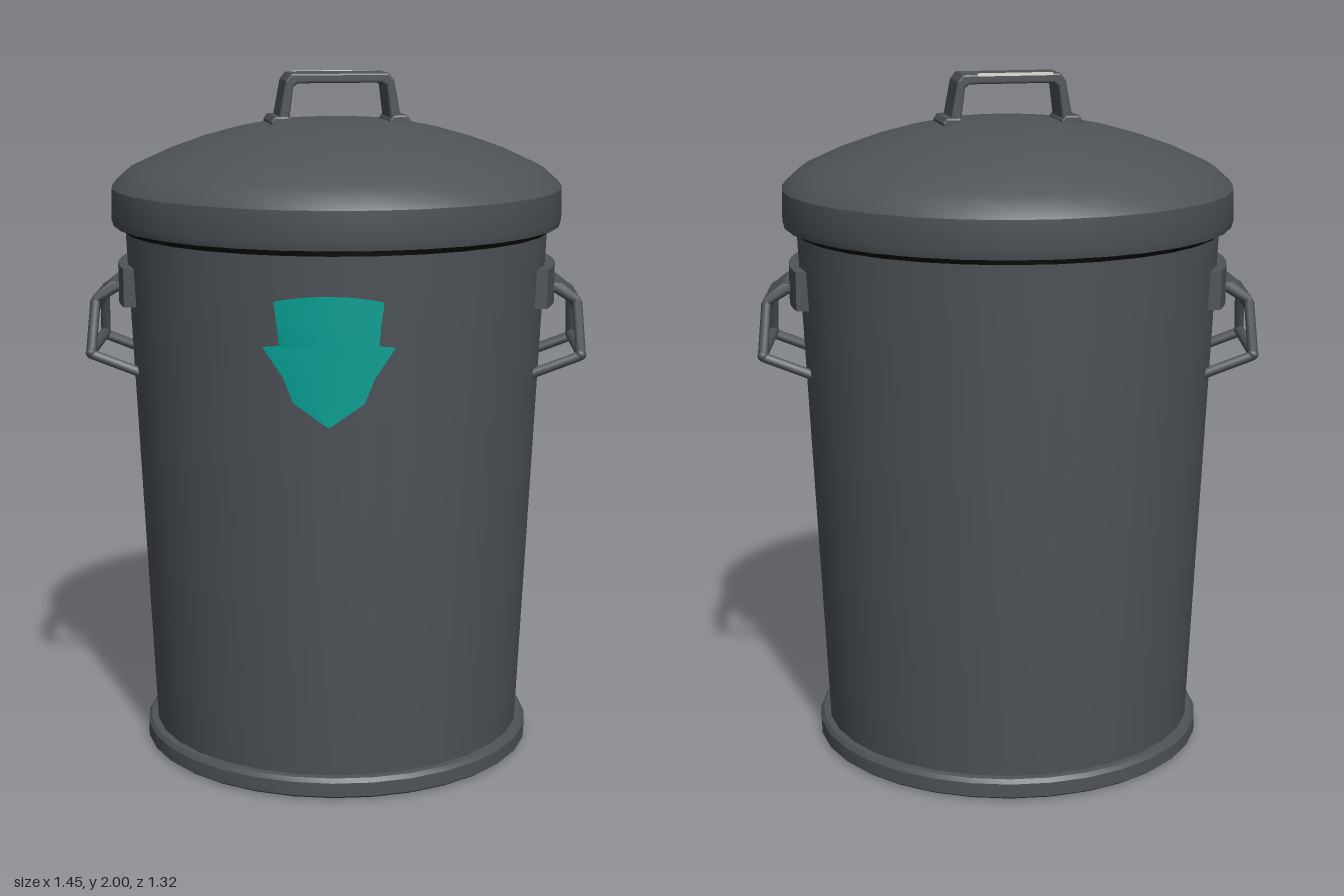
import * as THREE from 'three';
import { toCreasedNormals } from 'three/addons/utils/BufferGeometryUtils.js';

function material(name, color) {
  const m = new THREE.MeshStandardMaterial({ color });
  m.name = name;
  return m;
}
const metal = material('dark grey metal', 0x4e5358);
const teal = material('teal', 0x04a195);
const black = material('black', 0x040404);
const pale = material('pale grey', 0xb4b2ab);

const SEGMENTS = 32;
const bodyRadius = (y) => 0.55 + ((y - 0.06) / 1.5) * 0.068;

function add(parent, name, geometry, mat = metal) {
  const mesh = new THREE.Mesh(geometry, mat);
  mesh.name = name;
  parent.add(mesh);
  return mesh;
}

// Turned part with sharp edges kept; profile runs from the bottom up
function turned(profile) {
  const points = profile.map(([r, y]) => new THREE.Vector2(r, y));
  return toCreasedNormals(new THREE.LatheGeometry(points, SEGMENTS), 0.5);
}

const shapeOf = (outline) => new THREE.Shape(outline.map(([x, y]) => new THREE.Vector2(x, y)));

// Outline in x and y, extruded evenly about z = 0
function plate(outline, width, bevel = 0) {
  const geometry = new THREE.ExtrudeGeometry(shapeOf(outline), {
    depth: width - bevel * 2, bevelEnabled: bevel > 0,
    bevelSize: bevel, bevelOffset: -bevel, bevelThickness: bevel, bevelSegments: 2,
  });
  return geometry.translate(0, 0, bevel - width / 2);
}

// Straight-sided bent rod through the given points
function rod(points, radius) {
  const path = new THREE.CurvePath();
  const v = points.map((p) => new THREE.Vector3(...p));
  for (let i = 1; i < v.length; i++) path.add(new THREE.LineCurve3(v[i - 1], v[i]));
  return new THREE.TubeGeometry(path, 40, radius, 8, false);
}

// Thin badge bent around the wall: a box whose rows follow the outline
function badgeGeometry() {
  const rows = [
    [1.085, 0.004], [1.15, 0.096], [1.22, 0.124], [1.3, 0.178],
    [1.306, 0.134], [1.36, 0.139], [1.425, 0.148],
  ];
  const geometry = new THREE.BoxGeometry(2, 6, 1, 10, 6, 1);
  const p = geometry.attributes.position;
  for (let i = 0; i < p.count; i++) {
    const u = p.getX(i);
    const row = Math.round(p.getY(i) + 3);
    const [rowY, half] = rows[row];
    const y = rowY + (row === 6 ? 0.017 * (1 - u * u) : 0);
    const r = bodyRadius(y) + (p.getZ(i) > 0 ? 0.012 : 0.003);
    const x = u * half - 0.008;
    p.setXYZ(i, x, y, Math.sqrt(r * r - x * x));
  }
  return toCreasedNormals(geometry, 0.6);
}

function sideHandle() {
  const group = new THREE.Group();
  group.name = 'sideHandle';

  // Mounting plate curved to hug the wall
  const mount = new THREE.BoxGeometry(0.04, 0.112, 0.42, 1, 1, 10).translate(0.62, 1.4, 0);
  const p = mount.attributes.position;
  for (let i = 0; i < p.count; i++) {
    p.setX(i, p.getX(i) - 0.64 + Math.sqrt(0.64 * 0.64 - p.getZ(i) ** 2));
  }
  add(group, 'handleMount', toCreasedNormals(mount, 0.6));

  // Bent flap, wider toward its lower edge
  const flap = plate([
    [0.62, 1.38], [0.645, 1.385], [0.69, 1.35], [0.697, 1.31],
    [0.714, 1.31], [0.708, 1.36], [0.655, 1.403], [0.62, 1.4],
  ], 0.2);
  const f = flap.attributes.position;
  for (let i = 0; i < f.count; i++) {
    f.setZ(i, f.getZ(i) * (1 + Math.max(0, 1.4 - f.getY(i)) * 2.6));
  }
  flap.computeVertexNormals();
  add(group, 'handleFlap', flap);

  // Sloping arms, returning to the wall at their feet
  for (const s of [-1, 1]) {
    add(group, 'handleArm', rod([
      [0.63, 1.393, s * 0.09], [0.7, 1.352, s * 0.105],
      [0.709, 1.2, s * 0.163], [0.565, 1.145, s * 0.163],
    ], 0.015));
    const joint = add(group, 'handleCorner', new THREE.SphereGeometry(0.017, 8, 6));
    joint.position.set(0.708, 1.203, s * 0.163);
  }
  add(group, 'handleGrip', rod([[0.709, 1.207, -0.163], [0.709, 1.207, 0.163]], 0.016));
  return group;
}

function lidHandle() {
  const group = new THREE.Group();
  group.name = 'lidHandle';
  const half = [[0.18, 1.865], [0.158, 1.98], [0.142, 2.0]];
  const inner = [[0.122, 1.972], [0.136, 1.962], [0.148, 1.865]];
  const mirror = (list) => list.map(([x, y]) => [-x, y]).reverse();

  // Bent strap grip
  add(group, 'lidGrip', plate([
    ...half, ...mirror(half), ...mirror(inner), ...inner,
  ], 0.125, 0.006));

  // Worn streak along the rear upper edge of the grip
  const streak = add(group, 'gripWear', new THREE.BoxGeometry(0.22, 0.012, 0.003), pale);
  streak.position.set(-0.01, 1.9975, -0.06);
  streak.rotation.x = Math.PI / 4;

  // Rounded feet under the strap
  for (const s of [-1, 1]) {
    const c = s * 0.173;
    add(group, 'lidGripFoot', plate([
      [c - 0.031, 1.845], [c + 0.031, 1.845], [c + 0.031, 1.866],
      [c + 0.02, 1.88], [c - 0.02, 1.88], [c - 0.031, 1.866],
    ], 0.16, 0.006));
  }
  group.rotation.y = 0.2;
  return group;
}

// Pale slivers radiating across the underside
function baseMarks() {
  const slivers = [
    [[-0.11, 0.44], [-0.06, 0.12], [0.06, 0.0], [0.01, 0.16], [0.02, 0.45]],
    [[0.04, 0.54], [0.05, 0.15], [0.13, 0.21]],
    [[-0.52, -0.12], [0.1, -0.03], [-0.08, 0.06]],
    [[0.54, -0.1], [0.1, 0.05], [0, -0.05]],
    [[0.47, -0.2], [0.07, -0.1], [0.06, -0.14]],
    [[-0.04, -0.48], [0.04, -0.5], [0.05, -0.29], [0.19, -0.14], [0.04, -0.12], [-0.04, -0.29]],
  ];
  const geometry = new THREE.ShapeGeometry(slivers.map(shapeOf));
  return geometry.rotateX(Math.PI / 2).rotateY(THREE.MathUtils.degToRad(145));
}

export function createModel() {
  const model = new THREE.Group();
  model.name = 'dustbin';

  add(model, 'body', turned([
    [0.545, 0.01], [bodyRadius(0.06), 0.06],
    [bodyRadius(1.56), 1.56], [bodyRadius(1.6), 1.6], [0, 1.6],
  ]));
  add(model, 'baseRing', turned([
    [0.57, 0.003], [0.579, 0.01], [0.579, 0.05], [0.57, 0.062], [0.54, 0.064],
  ]));
  add(model, 'underside', turned([[0, 0.003], [0.57, 0.003]]), black);
  add(model, 'undersideMarks', baseMarks(), pale);

  // Lid, with a dark gap where it meets the wall
  add(model, 'lid', turned([
    [0.642, 1.568], [0.652, 1.568], [0.658, 1.59],
    [0.656, 1.675], [0.645, 1.69], [0.6, 1.73], [0.5, 1.776], [0.4, 1.812],
    [0.3, 1.84], [0.2, 1.86], [0.1, 1.866], [0, 1.868],
  ]));
  add(model, 'lidGap', turned([[0.6205, 1.55], [0.6215, 1.562], [0.642, 1.568]]), black);
  model.add(lidHandle());

  // One handle on each side
  for (const turn of [0, Math.PI]) {
    const handle = sideHandle();
    handle.rotation.y = turn;
    model.add(handle);
  }

  add(model, 'badge', badgeGeometry(), teal);
  return model;
}
